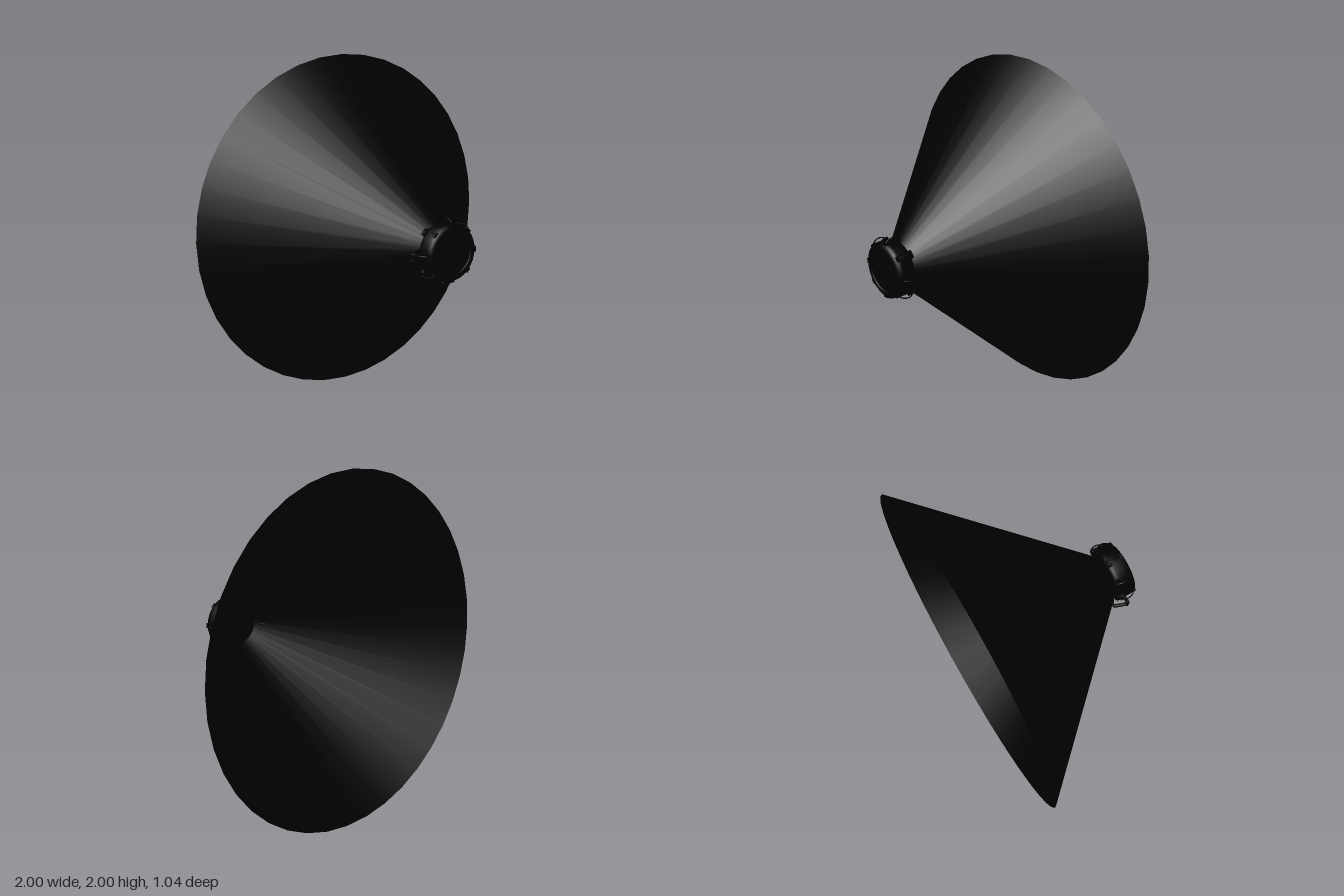
import * as THREE from 'three';

const black = new THREE.MeshStandardMaterial({ color: 0x000000, side: THREE.DoubleSide });
black.name = 'black';

function add(parent, name, geometry) {
  const mesh = new THREE.Mesh(geometry, black);
  mesh.name = name;
  parent.add(mesh);
  return mesh;
}

// Surface of revolution about z, from [radius, z] pairs
function turned(points, sides) {
  return new THREE.LatheGeometry(points.map(([r, z]) => new THREE.Vector2(r, z)), sides).rotateX(Math.PI / 2);
}

// Thin bent rod through a few points
function rod(points, radius, steps = 12) {
  const curve = new THREE.CatmullRomCurve3(points.map((p) => new THREE.Vector3(...p)), false, 'catmullrom', 0.3);
  return new THREE.TubeGeometry(curve, steps, radius, 6);
}

export function createModel() {
  const model = new THREE.Group();
  model.name = 'spotlight';

  // Open beam widening towards the back
  add(model, 'beamCone', turned([[1, -0.52], [0.12, 0.4]], 40)).position.y = 1;

  const lamp = new THREE.Group();
  lamp.name = 'lamp';
  lamp.position.y = 1;
  model.add(lamp);

  // Rounded drum, lens and front cover
  add(lamp, 'housing', turned([
    [0.115, 0.4], [0.14, 0.4], [0.158, 0.415], [0.163, 0.43], [0.163, 0.485],
    [0.156, 0.505], [0.14, 0.515], [0.125, 0.515], [0.12, 0.508],
  ], 32));
  add(lamp, 'lens', new THREE.CircleGeometry(0.12, 32)).position.z = 0.405;
  add(lamp, 'frontCover', turned([[0.122, 0.508], [0.1, 0.513], [0, 0.518]], 32));

  // Guard loops and lugs around the drum
  for (let i = 0; i < 8; i++) {
    const spoke = new THREE.Group();
    spoke.name = 'guard' + (i + 1);
    spoke.rotation.z = (i * Math.PI) / 4;
    lamp.add(spoke);
    add(spoke, 'guardLoop', rod([
      [0.14, 0, 0.4], [0.172, 0, 0.406], [0.186, 0, 0.43],
      [0.186, 0, 0.455], [0.175, 0, 0.482], [0.155, 0, 0.495],
    ], 0.0035));
    add(spoke, 'lug', new THREE.BoxGeometry(0.02, 0.045, 0.022)).position.set(0.164, 0, 0.415);
    add(spoke, 'frontClip', new THREE.BoxGeometry(0.018, 0.03, 0.02)).position.set(0.156, 0, 0.495);
  }

  // Forked mounting bracket on the right side
  const bracket = new THREE.Group();
  bracket.name = 'bracket';
  lamp.add(bracket);
  for (const y of [-0.05, -0.015]) {
    add(bracket, 'bracketArm', rod([
      [-0.135, y, 0.375], [-0.175, y, 0.352], [-0.19, y, 0.385], [-0.205, y, 0.43],
    ], 0.0045));
  }
  add(bracket, 'bracketPin', new THREE.CylinderGeometry(0.009, 0.009, 0.06, 10)).position.set(-0.2, -0.032, 0.43);
  add(bracket, 'bracketBase', new THREE.BoxGeometry(0.05, 0.03, 0.014)).position.set(-0.18, -0.032, 0.434);

  return model;
}
